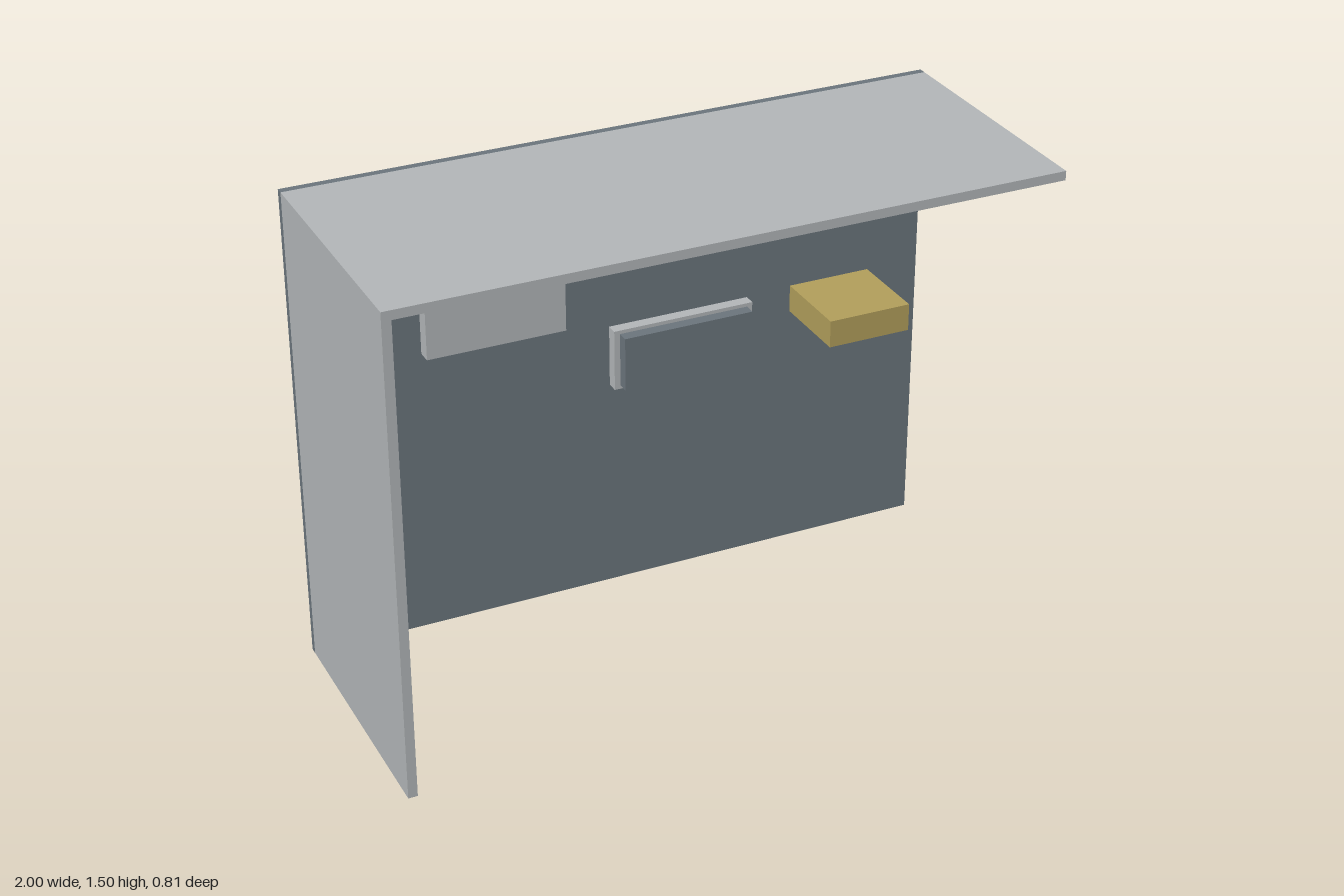
import * as THREE from 'three';

const paint = (name, color) => {
  const m = new THREE.MeshStandardMaterial({ color });
  m.name = name;
  return m;
};

export function createModel() {
  const group = new THREE.Group();
  const grey = paint('light grey', 0xb4b8ba);
  const slate = paint('slate grey', 0x6c767d);
  const green = paint('sage green', 0x7a9e8e);
  const yellow = paint('ochre yellow', 0xb3a05c);

  // Box given by its lower and upper limits on each axis
  const box = (name, material, [x0, x1], [y0, y1], [z0, z1]) => {
    const mesh = new THREE.Mesh(new THREE.BoxGeometry(x1 - x0, y1 - y0, z1 - z0), material);
    mesh.position.set((x0 + x1) / 2, (y0 + y1) / 2, (z0 + z1) / 2);
    mesh.name = name;
    group.add(mesh);
  };

  // Open shell: back, one side and roof
  box('backWall', slate, [-1, 1], [0, 1.5], [-0.405, -0.382]);
  box('sideWall', grey, [-1, -0.972], [0, 1.472], [-0.382, 0.405]);
  box('roof', grey, [-1, 1], [1.472, 1.5], [-0.382, 0.405]);

  // Units fixed to the back wall
  box('upperCabinet', green, [0.565, 0.775], [1.303, 1.428], [-0.382, -0.056]);
  box('shelfBox', yellow, [0.565, 0.83], [0.798, 0.884], [-0.382, -0.12]);

  // Panels hanging in front of the back wall
  box('smallPanel', grey, [-0.775, -0.557], [1.273, 1.403], [-0.155, -0.119]);
  box('widePanel', grey, [-0.678, -0.257], [1.011, 1.192], [-0.219, -0.175]);
  box('displayFrame', grey, [-0.098, 0.345], [0.77, 0.96], [-0.235, -0.199]);
  box('displayScreen', slate, [-0.08, 0.328], [0.781, 0.949], [-0.199, -0.163]);

  return group;
}
